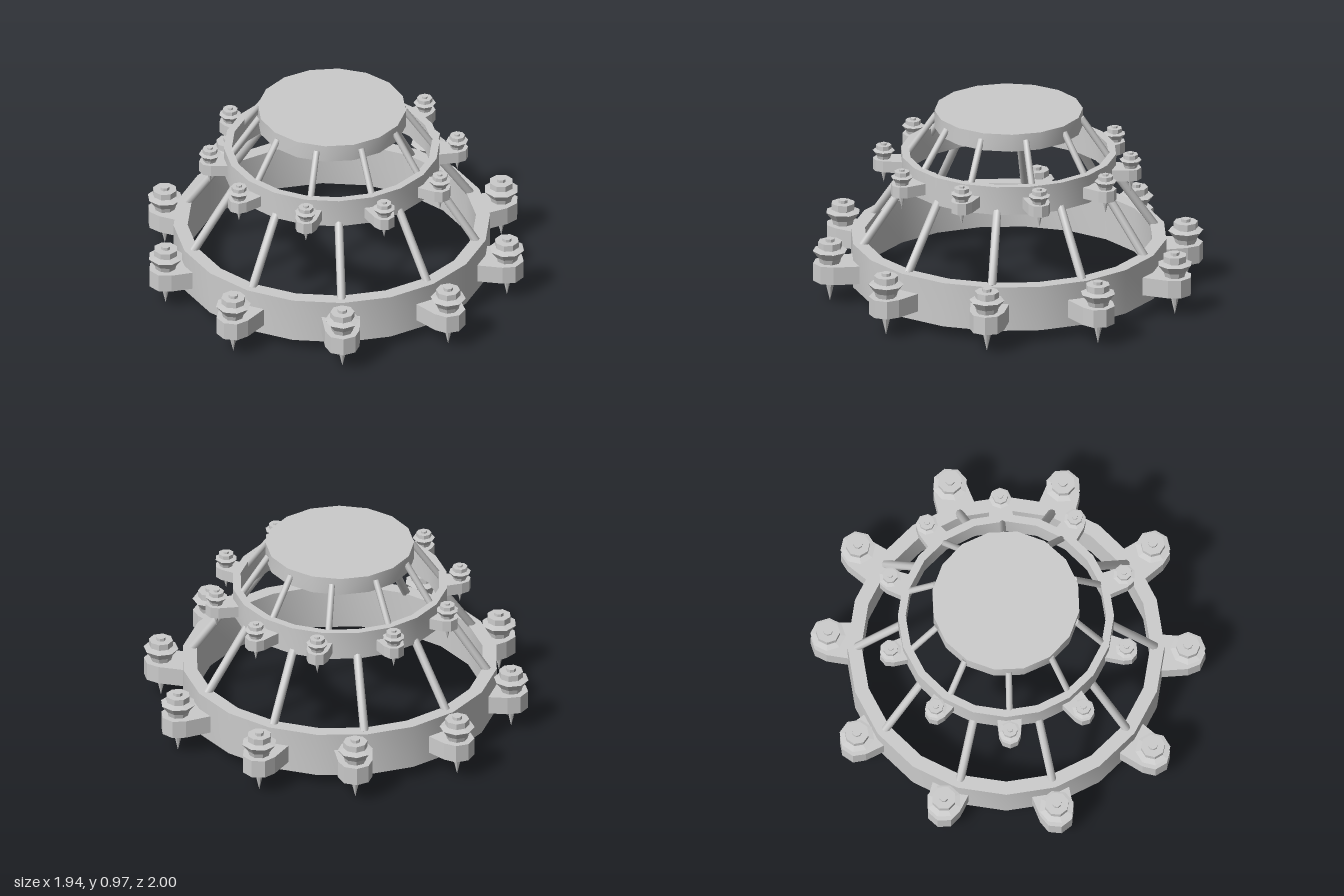
import * as THREE from 'three';
import { toCreasedNormals } from 'three/addons/utils/BufferGeometryUtils.js';

const grey = new THREE.MeshStandardMaterial({ color: 0xcccccc });
const faceted = new THREE.MeshStandardMaterial({ color: 0xcccccc, flatShading: true });
const CENTRE_Z = -0.02;

function add(parent, name, geometry, material = grey) {
  const mesh = new THREE.Mesh(geometry, material);
  mesh.name = name;
  parent.add(mesh);
  return mesh;
}

// Flat band with a rectangular section
function band(inner, outer, y0, y1) {
  const section = [[inner, y0], [outer, y0], [outer, y1], [inner, y1], [inner, y0]];
  const points = section.map(([r, y]) => new THREE.Vector2(r, y));
  return toCreasedNormals(new THREE.LatheGeometry(points, 20), Math.PI / 6);
}

// Straight rod between two points
function rod(a, b, radius) {
  const dir = b.clone().sub(a);
  const geometry = new THREE.CylinderGeometry(radius, radius, dir.length(), 8);
  geometry.applyQuaternion(new THREE.Quaternion().setFromUnitVectors(
    new THREE.Vector3(0, 1, 0), dir.clone().normalize()));
  const mid = a.clone().add(b).multiplyScalar(0.5);
  return geometry.translate(mid.x, mid.y, mid.z);
}

// Ten rods sloping from a lower radius to an upper one
function rodCircle(parent, name, [r0, y0], [r1, y1], radius, start) {
  for (let i = 0; i < 10; i++) {
    const t = start + i * Math.PI / 5;
    const at = (r, y) => new THREE.Vector3(r * Math.sin(t), y, r * Math.cos(t));
    add(parent, name, toCreasedNormals(rod(at(r0, y0), at(r1, y1), radius), Math.PI / 3));
  }
}

// Candle holder standing on its own axis; the bracket reaches back along -z
function candleHolder(reach) {
  const holder = new THREE.Group();
  holder.name = 'candleHolder';

  // Tongue-shaped bracket with a rounded outer end
  const tongue = new THREE.Shape();
  tongue.moveTo(-0.1, reach);
  for (let i = 0; i <= 4; i++) {
    const a = Math.PI + i * Math.PI / 4;
    tongue.lineTo(0.088 * Math.cos(a), 0.088 * Math.sin(a));
  }
  tongue.lineTo(0.1, reach);
  tongue.closePath();
  const bracket = new THREE.ExtrudeGeometry(tongue, { depth: 0.095, bevelEnabled: false });
  bracket.rotateX(-Math.PI / 2).translate(0, 0.115, 0);
  add(holder, 'bracket', bracket, faceted);

  // Spike hanging below
  const spike = new THREE.ConeGeometry(0.028, 0.12, 8).rotateX(Math.PI);
  add(holder, 'spike', spike.translate(0, 0.06, 0), faceted);

  // Flared dish, candle and wick
  const profile = [[0, 0.205], [0.052, 0.205], [0.06, 0.235], [0.09, 0.275],
    [0.045, 0.28], [0.045, 0.288], [0.062, 0.29], [0.062, 0.322],
    [0.024, 0.322], [0.024, 0.338], [0, 0.338]];
  add(holder, 'dishAndCandle', new THREE.LatheGeometry(
    profile.map(([r, y]) => new THREE.Vector2(r, y)), 8), faceted);
  return holder;
}

// Holders at slightly uneven spots around a band
function holderCircle(parent, spots, bandRadius, y, scale) {
  for (const [x, z] of spots) {
    const dz = z - CENTRE_Z;
    const holder = candleHolder((Math.hypot(x, dz) - bandRadius) / scale);
    holder.position.set(x, y, dz);
    holder.rotation.y = Math.atan2(x, dz);
    holder.scale.setScalar(scale);
    parent.add(holder);
  }
}

export function createModel() {
  const model = new THREE.Group();
  model.name = 'chandelier';
  const frame = new THREE.Group();
  frame.name = 'frame';
  frame.position.z = CENTRE_Z;
  model.add(frame);

  // Two bands and the ceiling plate
  add(frame, 'lowerBand', band(0.735, 0.807, 0.065, 0.3));
  add(frame, 'middleBand', band(0.51, 0.55, 0.6, 0.75));
  const plate = new THREE.CylinderGeometry(0.378, 0.378, 0.092, 16).translate(0, 0.926, 0);
  add(frame, 'ceilingPlate', toCreasedNormals(plate, Math.PI / 6));

  // Sloping rods joining the tiers
  rodCircle(frame, 'lowerRod', [0.757, 0.29], [0.53, 0.62], 0.022, 0);
  rodCircle(frame, 'upperRod', [0.53, 0.7], [0.37, 0.935], 0.017, Math.PI * 20 / 180);

  // Candle holders
  holderCircle(frame, [[0.06, -0.915], [0.59, -0.71], [0.88, -0.31], [0.88, 0.27],
    [0.535, 0.73], [0, 0.905], [-0.55, 0.725], [-0.885, 0.26], [-0.85, -0.32],
    [-0.485, -0.765]], 0.77, 0, 1);
  holderCircle(frame, [[0.2, -0.6], [0.52, -0.37], [0.64, -0.05], [0.535, 0.335],
    [0.22, 0.575], [-0.17, 0.6], [-0.5, 0.375], [-0.635, 0.005], [-0.515, -0.37],
    [-0.19, -0.6]], 0.53, 0.56, 0.63);
  return model;
}
